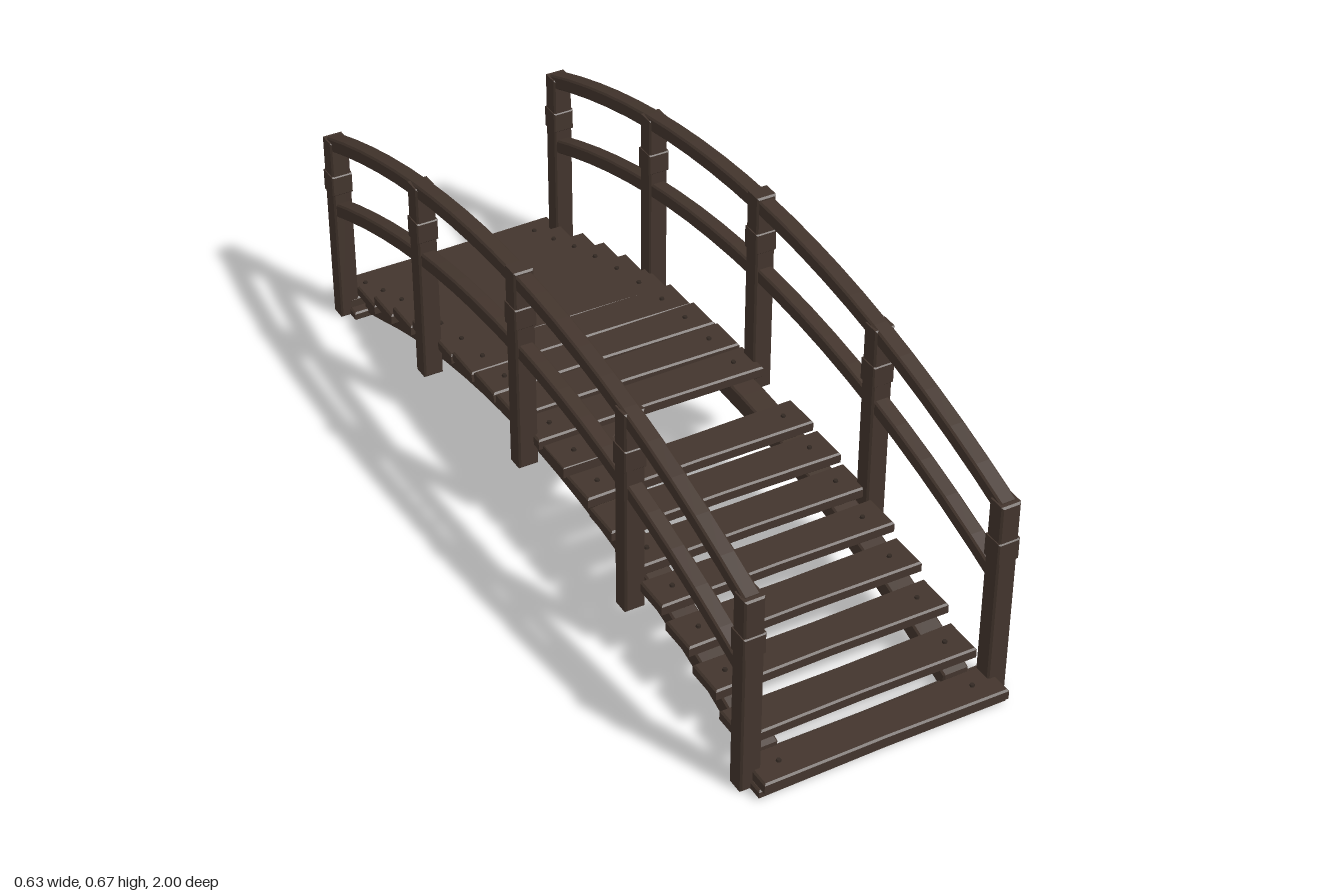
import * as THREE from 'three';

const wood = new THREE.MeshStandardMaterial({ color: 0x43352d });
wood.name = 'dark wood';
const iron = new THREE.MeshStandardMaterial({ color: 0x332923 });
iron.name = 'nail iron';

// Small seeded generator for the hand-made unevenness, from -1 to 1
let seed = 7;
const wobble = () => {
  seed = (seed * 16807) % 2147483647;
  return (seed / 2147483647) * 2 - 1;
};

function add(parent, name, geometry, material, x = 0, y = 0, z = 0) {
  const mesh = new THREE.Mesh(geometry, material);
  mesh.name = name;
  mesh.position.set(x, y, z);
  parent.add(mesh);
  return mesh;
}

// Extruded outline with chamfered edges; the outline keeps its size
function slab(points, thick, bevel) {
  const shape = new THREE.Shape(points.map(([a, b]) => new THREE.Vector2(a, b)));
  const geometry = new THREE.ExtrudeGeometry(shape, {
    depth: thick - 2 * bevel, bevelEnabled: true, bevelSegments: 1,
    bevelSize: bevel, bevelThickness: bevel, bevelOffset: -bevel,
  });
  return geometry.translate(0, 0, bevel - thick / 2);
}

// Curved beam along z: centre height is peak - drop * z * z
function archBeam(peak, drop, half, high, wide) {
  const steps = 20, upper = [], lower = [];
  for (let i = 0; i <= steps; i++) {
    const z = -half + (2 * half * i) / steps;
    const y = peak - drop * z * z;
    lower.push([z, Math.max(0.003, y - high / 2)]);
    upper.unshift([z, y + high / 2]);
  }
  return slab([...lower, ...upper], wide, 0.004).rotateY(-Math.PI / 2);
}

// Upright with chamfered corners and top
function uprightBox(x, y, z, bevel) {
  const a = x / 2, b = y / 2;
  return slab([[-a, -b], [a, -b], [a, b], [-a, b]], z, bevel);
}

// Slightly waisted board lying flat
function board(length, width, thick) {
  const a = length / 2, b = width / 2, w = b - 0.003;
  return slab([[-a, -b], [0, -w], [a, -b], [a, b], [0, w], [-a, b]], thick, 0.004)
    .rotateX(-Math.PI / 2);
}

const nailShape = new THREE.CylinderGeometry(0.005, 0.006, 0.006, 6);

function nails(parent, xs, y, z) {
  for (const x of xs) add(parent, 'nail', nailShape, iron, x, y + 0.002, z);
}

export function createModel() {
  seed = 7;
  const bridge = new THREE.Group();
  bridge.name = 'archedFootbridge';

  // Stringers and railings, mirrored
  for (const side of [-1, 1]) {
    const label = side > 0 ? 'left' : 'right';
    add(bridge, label + 'Stringer', archBeam(0.204, 0.225, 0.9, 0.048, 0.06), wood, side * 0.226);

    const railing = new THREE.Group();
    railing.name = label + 'Railing';
    bridge.add(railing);
    add(railing, 'topRail', archBeam(0.65, 0.205, 0.94, 0.036, 0.038), wood, side * 0.29);
    add(railing, 'middleRail', archBeam(0.476, 0.21, 0.94, 0.036, 0.036), wood, side * 0.29);

    // Posts: position, bottom, top, middle of the thicker collar
    for (const [z, low, high, collar] of [
      [-0.93, 0.002, 0.485, 0.37], [-0.467, 0.118, 0.619, 0.505], [0, 0.173, 0.675, 0.56],
      [0.467, 0.118, 0.619, 0.505], [0.93, 0.002, 0.485, 0.37],
    ]) {
      add(railing, 'post', uprightBox(0.046, high - low, 0.045, 0.004), wood,
        side * 0.29, (high + low) / 2, z);
      add(railing, 'postCollar', uprightBox(0.051, 0.052, 0.05, 0.003), wood,
        side * 0.29, collar, z);
    }
  }

  // Deck boards, stepping over the arch
  const deck = new THREE.Group();
  deck.name = 'deck';
  bridge.add(deck);
  const pitch = 0.1063, thick = 0.028;
  for (let i = -8; i <= 8; i++) {
    const z = i * pitch;
    const top = 0.251 - 0.23 * z * z;
    const plank = new THREE.Group();
    plank.name = i === 1 ? 'brokenPlank' : 'plank';
    plank.position.set(0, top - thick / 2, z);
    deck.add(plank);
    if (i === 1) {
      // Snapped board: only one splintered end is left
      const stub = slab([[-0.275, -0.046], [-0.085, -0.046], [-0.1, -0.03], [-0.13, 0],
        [-0.09, 0.03], [-0.06, 0.046], [-0.275, 0.046]], thick, 0.002).rotateX(-Math.PI / 2);
      add(plank, 'splinteredBoard', stub, wood);
      nails(plank, [-0.226], thick / 2, 0);
      continue;
    }
    add(plank, 'board', board(0.552 + 0.006 * wobble(), 0.094 + 0.002 * wobble(), thick), wood);
    nails(plank, [-0.228, 0.228], thick / 2, 0);
    plank.rotation.set(0, 0.004 * wobble(), 0.003 * wobble());
  }

  // Wide threshold board on a sill at each end
  for (const end of [-1, 1]) {
    const threshold = new THREE.Group();
    threshold.name = end > 0 ? 'frontThreshold' : 'backThreshold';
    threshold.position.z = end * 0.953;
    threshold.rotation.z = -end * 0.006;
    bridge.add(threshold);
    add(threshold, 'board', board(0.574, 0.092, 0.028), wood, 0, 0.034);
    nails(threshold, [-0.228, 0.228], 0.048, 0);
    add(bridge, 'sill', board(0.582, 0.105, 0.022), wood, 0, 0.012, end * 0.933);
  }
  return bridge;
}
